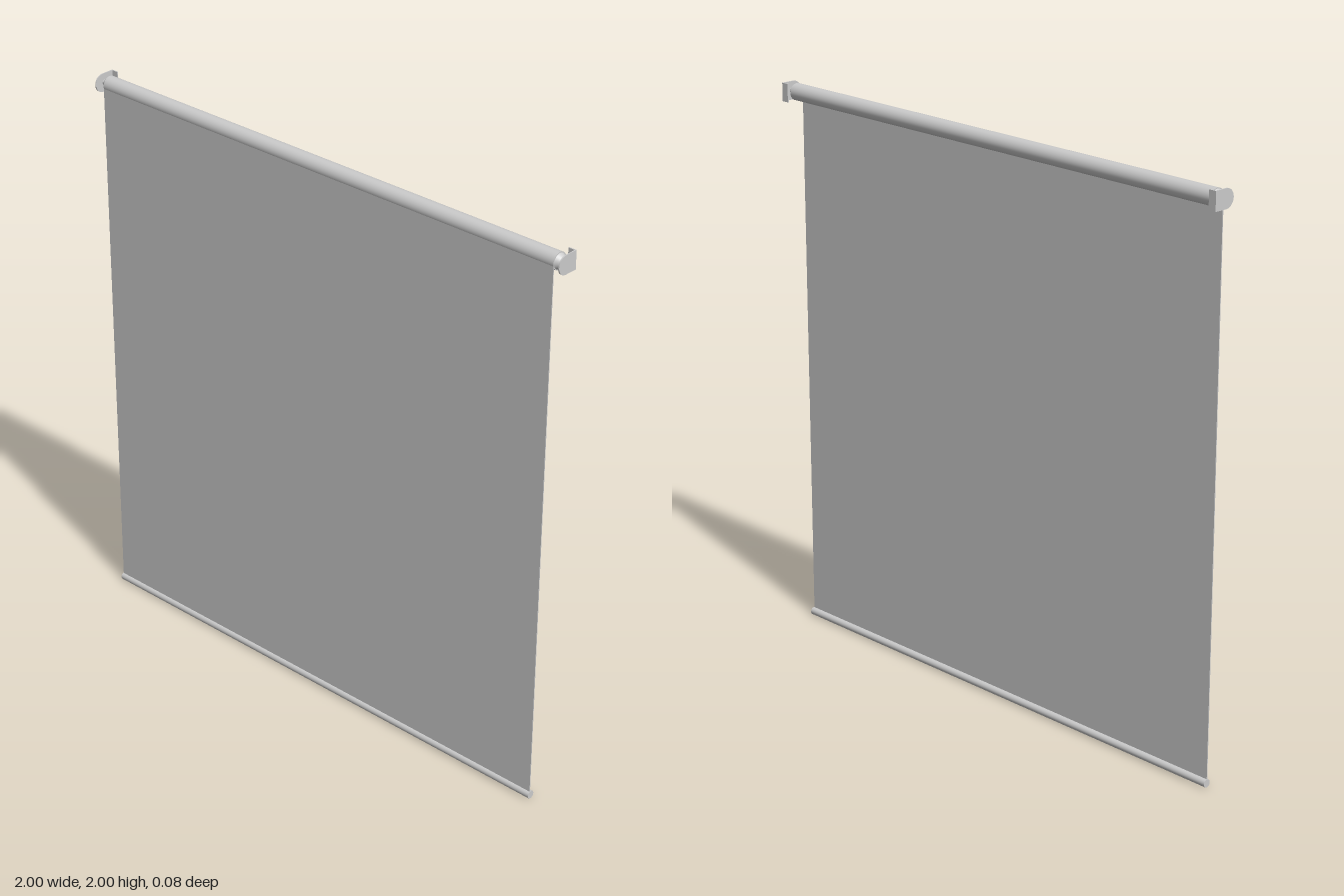
import * as THREE from 'three';

const material = new THREE.MeshStandardMaterial({ color: 0xcccccc });
const AXIS_Y = 1.967, AXIS_Z = 0, ROLLER_R = 0.03, CLOTH_X = 0.97;

function add(parent, name, geometry, x = 0, y = 0, z = 0) {
  const mesh = new THREE.Mesh(geometry, material);
  mesh.name = name;
  mesh.position.set(x, y, z);
  parent.add(mesh);
  return mesh;
}

// Cylinder lying along x
function rod(radius, length, sides = 40) {
  return new THREE.CylinderGeometry(radius, radius, length, sides).rotateZ(Math.PI / 2);
}

// D-shaped side plate: flat against the wall, rounded at the front
function plateGeometry(thickness) {
  const r = 0.0325, back = -0.04, centre = 0.0075;
  const shape = new THREE.Shape();
  shape.moveTo(back, -r);
  shape.lineTo(centre, -r);
  shape.absarc(centre, 0, r, -Math.PI / 2, Math.PI / 2, false);
  shape.lineTo(back, r);
  shape.closePath();
  return new THREE.ExtrudeGeometry(shape, { depth: thickness, bevelEnabled: false, curveSegments: 24 })
    .rotateY(-Math.PI / 2)
    .translate(thickness / 2, 0, 0);
}

export function createModel() {
  const model = new THREE.Group();
  model.name = 'rollerBlind';

  // Rolled cloth tube
  add(model, 'roller', rod(ROLLER_R, CLOTH_X * 2, 48), 0, AXIS_Y, AXIS_Z);

  // Hanging cloth, leaving the front of the roller
  const clothZ = ROLLER_R - 0.0025, bottom = 0.014;
  add(model, 'cloth', new THREE.BoxGeometry(CLOTH_X * 2, AXIS_Y - bottom, 0.003),
    0, (AXIS_Y + bottom) / 2, clothZ);

  // Weighted bottom bar
  add(model, 'bottomBar', rod(0.014, CLOTH_X * 2 + 0.004, 32), 0, bottom, 0.025);

  // Wall brackets with roller pins, mirrored on both ends
  for (const side of [1, -1]) {
    const bracket = new THREE.Group();
    bracket.name = side > 0 ? 'leftBracket' : 'rightBracket';
    bracket.position.set(0, AXIS_Y, 0);
    add(bracket, 'sidePlate', plateGeometry(0.004), side * 0.998);
    add(bracket, 'wallFlange', new THREE.BoxGeometry(0.028, 0.065, 0.004), side * 0.986, 0, -0.038);
    // Tapered plug between roller and plate
    const plug = new THREE.CylinderGeometry(0.018, 0.027, 0.014, 32).rotateZ(-side * Math.PI / 2);
    add(bracket, 'rollerPlug', plug, side * 0.977, 0, AXIS_Z);
    add(bracket, 'pin', rod(0.01, 0.014, 24), side * 0.99, 0, AXIS_Z);
    model.add(bracket);
  }
  return model;
}
